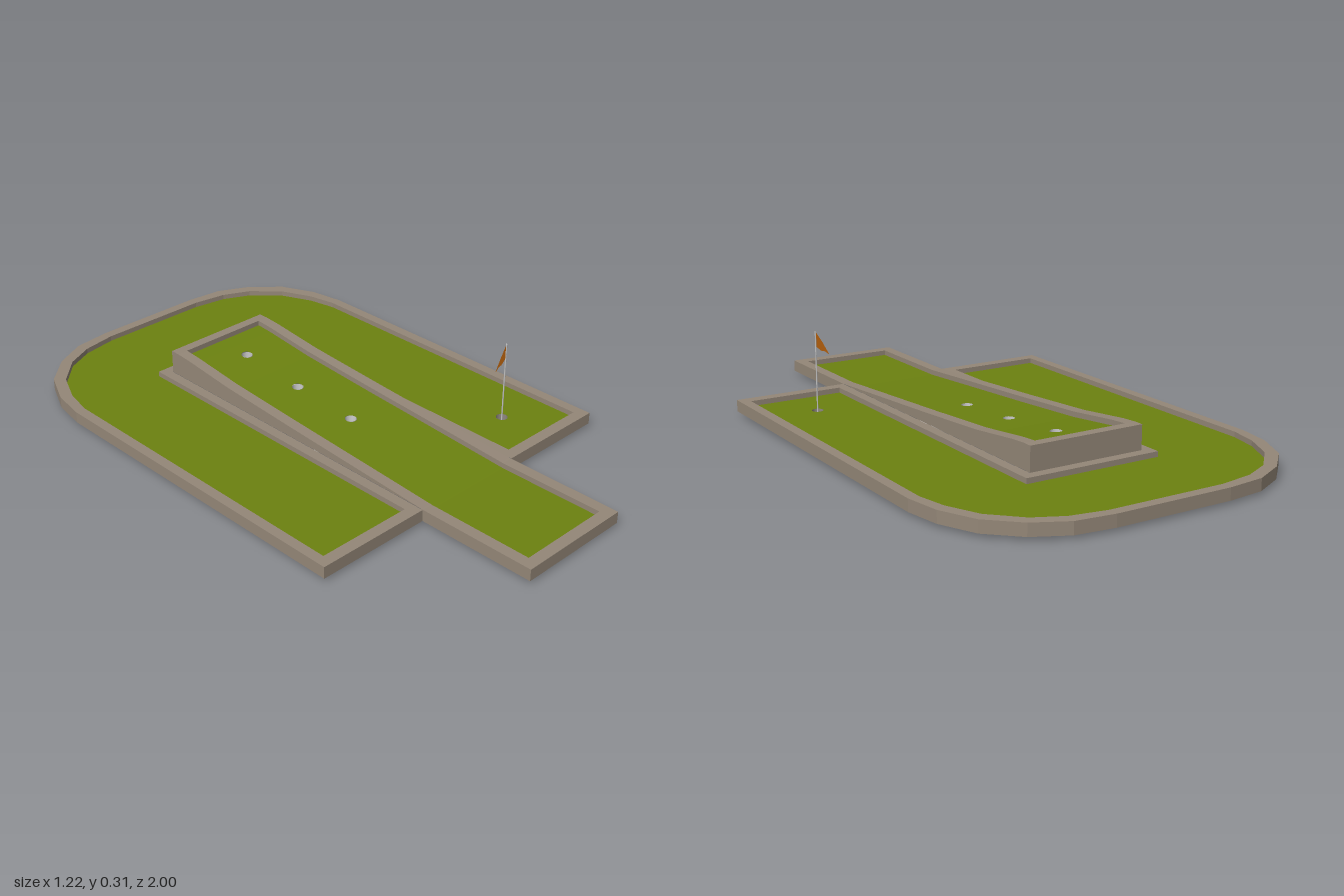
import * as THREE from 'three';

const mat = (name, color, extra = {}) =>
  Object.assign(new THREE.MeshStandardMaterial({ color, side: THREE.DoubleSide, ...extra }), { name });

const RIM = 0.052, BASE = 0.012, FLOOR = 0.034, DEPTH = 0.018;
const CUP = { x: 0.405, z: 0.385, r: 0.02 };

// Sheet of quads between two polylines of [x, y, z] points
function strip(a, b, closed = false) {
  const pos = [], n = a.length;
  for (let i = 0; i < (closed ? n : n - 1); i++) {
    const j = (i + 1) % n;
    pos.push(...a[i], ...b[i], ...b[j], ...a[i], ...b[j], ...a[j]);
  }
  const g = new THREE.BufferGeometry();
  g.setAttribute('position', new THREE.Float32BufferAttribute(pos, 3));
  g.computeVertexNormals();
  return g;
}

// Flat sheet from [x, z] points with round holes, lifted by a height rule
function sheet(points, holes, height) {
  const shape = new THREE.Shape(points.map(([x, z]) => new THREE.Vector2(x, -z)));
  for (const h of holes) shape.holes.push(new THREE.Path().absarc(h.x, -h.z, h.r, 0, Math.PI * 2, true));
  const g = new THREE.ShapeGeometry(shape, 8);
  g.rotateX(-Math.PI / 2);
  const p = g.attributes.position;
  for (let i = 0; i < p.count; i++) p.setY(i, height(p.getZ(i)));
  g.computeVertexNormals();
  return g;
}

const atY = (pts, y) => pts.map(([x, z]) => [x, y, z]);
const setY = (pts, f) => pts.map(([x, y, z], i) => [x, f(y, z, i), z]);

// Mirrors the +x half of an outline, giving a run from +x round to -x
const mirrored = half => [...half, ...half.map(([x, z]) => [-x, z]).reverse()];

// Height of the ramp rim along z
const PROFILE = [[1, 0.052], [0.59, 0.052], [0.585, 0.0525], [0.4, 0.064], [0, 0.088],
  [-0.3, 0.108], [-0.5, 0.13], [-0.56, 0.134], [-0.595, 0.134]];
function rimHeight(z) {
  for (let i = 1; i < PROFILE.length; i++) {
    const [z0, y0] = PROFILE[i - 1], [z1, y1] = PROFILE[i];
    if (z >= z1) return y0 + (y1 - y0) * (z0 - z) / (z0 - z1);
  }
  return 0.134;
}

export function createModel() {
  const model = new THREE.Group();
  model.name = 'miniGolfHole';
  const stone = mat('stone', 0x948778, { flatShading: true });
  const grass = mat('grass', 0x6c8210, { flatShading: true });
  const metal = mat('metal', 0xc4c4c4);
  const orange = mat('orange', 0xcc6d10);
  const cupGrey = mat('cupGrey', 0x8f8880);
  const add = (name, geometry, material, parent = model) => {
    const m = new THREE.Mesh(geometry, material);
    m.name = name;
    parent.add(m);
    return m;
  };

  // Lower course: U-shaped lawn with a raised border
  const outer = mirrored([[0.205, 0.59], [0.61, 0.59], [0.61, -0.6], [0.59, -0.72],
    [0.535, -0.84], [0.44, -0.93], [0.33, -0.985], [0.2, -1]]);
  const inner = mirrored([[0.24, 0.55], [0.575, 0.55], [0.575, -0.6], [0.555, -0.7],
    [0.505, -0.81], [0.415, -0.9], [0.32, -0.945], [0.2, -0.965]]);
  const outerLoop = [...outer, [-0.205, -0.595], [0.205, -0.595]];
  const innerLoop = [...inner, [-0.24, -0.63], [0.24, -0.63]];
  const course = new THREE.Group();
  course.name = 'lowerCourse';
  model.add(course);
  add('courseBorderTop', strip(atY(outerLoop, RIM), atY(innerLoop, RIM), true), stone, course);
  add('courseOuterWall', strip(atY(outer, BASE), atY(outer, RIM)), stone, course);
  add('courseInnerWall', strip(atY(innerLoop, FLOOR), atY(innerLoop, RIM), true), stone, course);
  add('courseLawn', sheet(innerLoop, [CUP], () => FLOOR), grass, course);

  // Ramp: border and walls follow the height profile
  const ramp = new THREE.Group();
  ramp.name = 'ramp';
  model.add(ramp);
  const zs = PROFILE.map(p => p[0]);
  const innerZs = [0.96, ...zs.slice(1, -1)];
  innerZs.push(-0.5601);
  const rampLoop = (x, list) => mirrored(list.map(z => [x, z])).map(([px, z]) => [px, rimHeight(z), z]);
  const rampOuter = rampLoop(0.204, zs), rampInner = rampLoop(0.165, innerZs);
  add('rampBorderTop', strip(rampOuter, rampInner, true), stone, ramp);
  add('rampOuterWall', strip(setY(rampOuter, (y, z) => z >= 0.59 ? BASE : RIM), rampOuter, true), stone, ramp);
  add('rampInnerWall', strip(setY(rampInner, y => y - DEPTH), rampInner, true), stone, ramp);

  // Ramp lawn in straight panels, with a round opening over each pipe
  const holes = [0.08, -0.175, -0.435].map(z => ({ x: 0, z, r: 0.02 }));
  for (let i = 0; i < innerZs.length - 2; i++) {
    const a = innerZs[i], b = innerZs[i + 1];
    const inside = holes.filter(h => h.z < a && h.z > b);
    add('rampLawn', sheet([[0.165, a], [0.165, b], [-0.165, b], [-0.165, a]], inside,
      z => rimHeight(z) - DEPTH), grass, ramp);
  }

  // Drain pipes: a funnel under each opening and a run to an outlet
  const outlets = [[-0.24, 0.11], [-0.06, -0.59], [0.22, 0.22]];
  holes.forEach((h, i) => {
    const pipe = new THREE.Group();
    pipe.name = 'drainPipe';
    model.add(pipe);
    const top = rimHeight(h.z) - DEPTH, low = 0.026;
    const funnel = add('pipeMouth', new THREE.CylinderGeometry(0.02, 0.014, top - low, 12, 1, true), metal, pipe);
    funnel.position.set(0, (top + low) / 2, h.z);
    const elbow = add('pipeElbow', new THREE.SphereGeometry(0.014, 12, 8), metal, pipe);
    elbow.position.set(0, low, h.z);
    const run = new THREE.LineCurve3(new THREE.Vector3(0, low, h.z),
      new THREE.Vector3(outlets[i][0], low, outlets[i][1]));
    add('pipeRun', new THREE.TubeGeometry(run, 1, 0.01, 10), metal, pipe);
  });

  // Cup, pole and flag
  const target = new THREE.Group();
  target.name = 'cupAndFlag';
  target.position.set(CUP.x, 0, CUP.z);
  model.add(target);
  add('cupWall', new THREE.CylinderGeometry(CUP.r, CUP.r, FLOOR, 12, 1, true), cupGrey, target).position.y = FLOOR / 2;
  add('cupBottom', new THREE.CircleGeometry(CUP.r, 12).rotateX(-Math.PI / 2), cupGrey, target).position.y = 0.0005;
  add('pole', new THREE.CylinderGeometry(0.0025, 0.0025, 0.307, 8), metal, target).position.y = 0.1545;
  const cloth = new THREE.Shape([[0, 0.307], [-0.025, 0.267], [-0.05, 0.22], [-0.034, 0.234], [-0.02, 0.238], [0, 0.256]]
    .map(p => new THREE.Vector2(...p)));
  add('flag', new THREE.ShapeGeometry(cloth), orange, target);
  return model;
}
